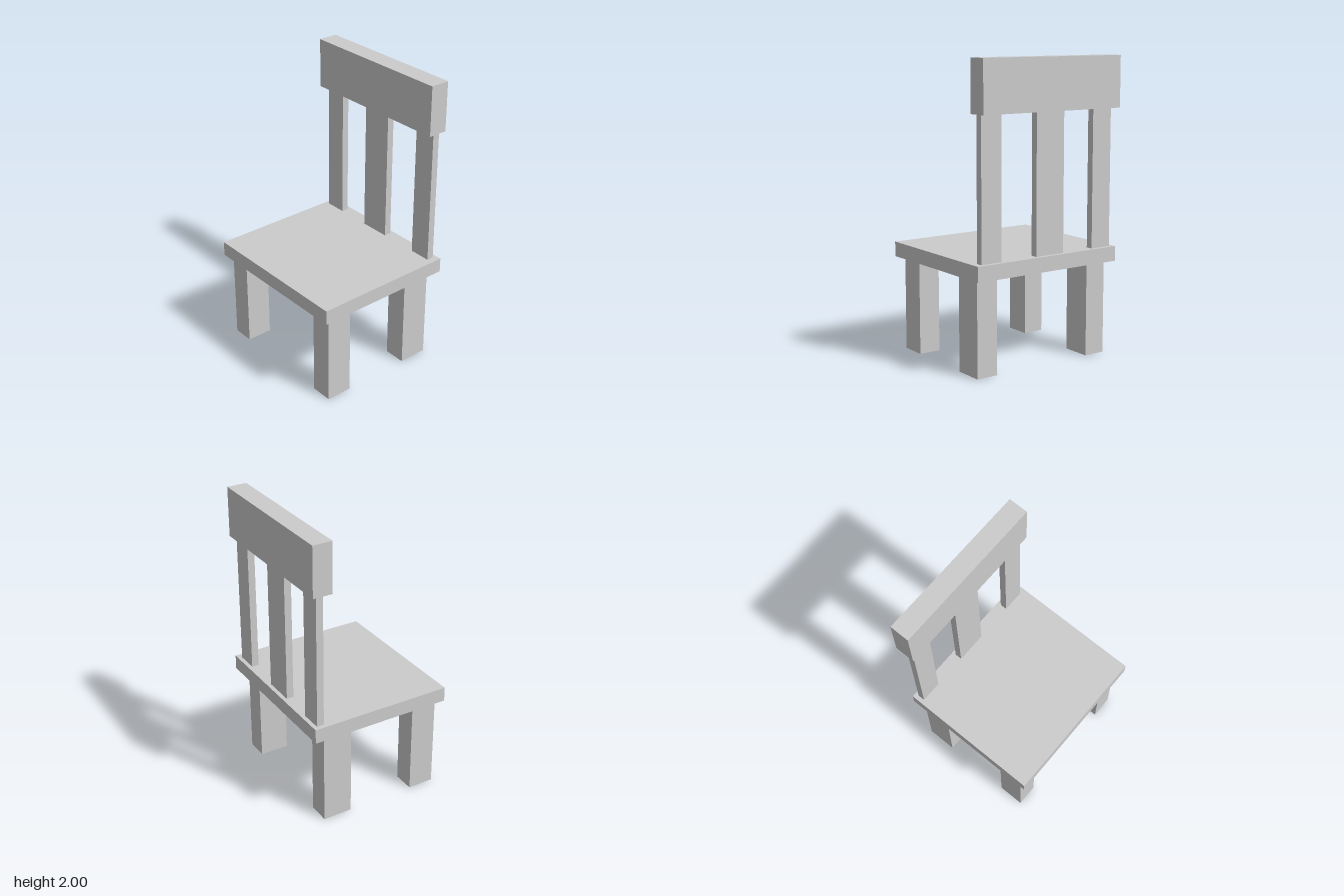
import * as THREE from 'three';

const material = new THREE.MeshStandardMaterial({ color: 0xcccccc, flatShading: true });

// Box given by its extents along each axis
function block(name, [x0, x1], [y0, y1], [z0, z1]) {
  const geometry = new THREE.BoxGeometry(x1 - x0, y1 - y0, z1 - z0);
  const mesh = new THREE.Mesh(geometry, material);
  mesh.name = name;
  mesh.position.set((x0 + x1) / 2, (y0 + y1) / 2, (z0 + z1) / 2);
  return mesh;
}

export function createModel() {
  const chair = new THREE.Group();
  chair.name = 'chair';

  const rightX = [-0.52, -0.37];
  const leftX = [0.358, 0.51];
  const seatY = [0.64, 0.74];
  const railY = [1.66, 2];

  // Seat and the thick top rail of the backrest
  chair.add(block('seat', [-0.55, 0.555], seatY, [-0.49, 0.5]));
  chair.add(block('topRail', [-0.56, 0.523], railY, [-0.505, -0.37]));

  // Legs; the rear pair is a little deeper
  for (const [side, x] of [['Right', rightX], ['Left', leftX]]) {
    chair.add(block('front' + side + 'Leg', x, [0, seatY[0]], [0.265, 0.445]));
    chair.add(block('rear' + side + 'Leg', x, [0, seatY[0]], [-0.413, -0.21]));
  }

  // Backrest slats between seat and top rail
  const slats = [['rightSlat', rightX], ['middleSlat', [-0.13, 0.088]], ['leftSlat', leftX]];
  for (const [name, x] of slats) {
    chair.add(block(name, x, [seatY[1], railY[0]], [-0.462, -0.413]));
  }

  return chair;
}
